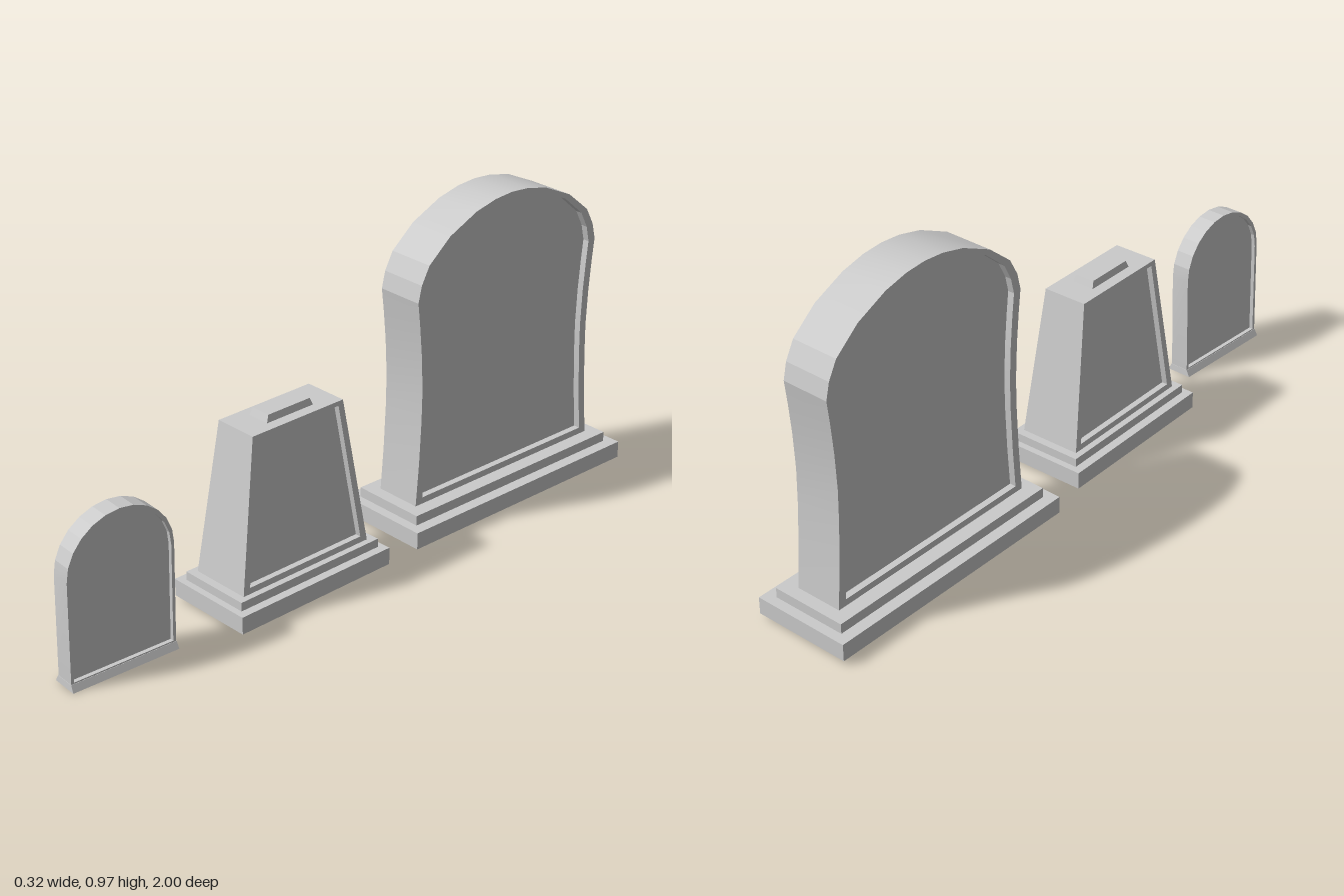
import * as THREE from 'three';
import { toCreasedNormals } from 'three/addons/utils/BufferGeometryUtils.js';

const stone = new THREE.MeshStandardMaterial({ color: 0xcccccc });

function add(group, name, geometry) {
  const mesh = new THREE.Mesh(geometry, stone);
  mesh.name = name;
  group.add(mesh);
}

// Box standing on y0, with its top face resized to w1 x d1
function block(w, d, y0, y1, w1 = w, d1 = d) {
  const g = new THREE.BoxGeometry(w, y1 - y0, d).translate(0, (y0 + y1) / 2, 0);
  const p = g.attributes.position;
  for (let i = 0; i < p.count; i++) {
    if (p.getY(i) > (y0 + y1) / 2) {
      p.setX(i, p.getX(i) * w1 / w);
      p.setZ(i, p.getZ(i) * d1 / d);
    }
  }
  g.computeVertexNormals();
  return g;
}

// Mirrors a half outline, given from bottom to top, into a closed loop
function mirrored(half) {
  const left = half.filter(([u]) => u > 0).reverse().map(([u, y]) => [-u, y]);
  return [...half, ...left].map(([u, y]) => new THREE.Vector2(u, y));
}

// Upright slab facing +x and -x: a raised rim around a sunken panel on each face.
// lean is how far each face has moved inwards at the top.
function slab(group, half, { thickness, depth, side, bottom, top, lean = 0 }) {
  const w = Math.max(...half.map(([u]) => u));
  const y0 = half[0][1], y1 = half[half.length - 1][1];
  const inner = half.map(([u, y]) => [
    u * (w - side) / w,
    y0 + bottom + (y - y0) * (y1 - y0 - bottom - top) / (y1 - y0)
  ]);
  const finish = (g) => {
    g.rotateY(Math.PI / 2);
    const p = g.attributes.position;
    for (let i = 0; i < p.count; i++) {
      const shift = lean * (p.getY(i) - y0) / (y1 - y0);
      p.setX(i, p.getX(i) - Math.sign(p.getX(i)) * shift);
    }
    return toCreasedNormals(g, 0.2);
  };

  const shape = new THREE.Shape(mirrored(half));
  shape.holes.push(new THREE.Path(mirrored(inner)));
  const rim = new THREE.ExtrudeGeometry(shape, { depth: thickness, bevelEnabled: false });
  add(group, 'rim', finish(rim.translate(0, 0, -thickness / 2)));

  const panelShape = new THREE.Shape(mirrored(inner));
  for (const s of [1, -1]) {
    const panel = new THREE.ShapeGeometry(panelShape);
    if (s < 0) panel.rotateY(Math.PI);
    add(group, s > 0 ? 'leftPanel' : 'rightPanel',
      finish(panel.translate(0, 0, s * (thickness / 2 - depth))));
  }
}

function largeStone() {
  const g = new THREE.Group();
  g.name = 'largeHeadstone';
  add(g, 'base', block(0.305, 0.85, 0.015, 0.067));
  add(g, 'step', block(0.235, 0.79, 0.067, 0.097));
  // waisted sides swelling into a shouldered arch
  slab(g, [
    [0.357, 0.097], [0.346, 0.23], [0.339, 0.36], [0.337, 0.46], [0.342, 0.57],
    [0.35, 0.66], [0.358, 0.73], [0.346, 0.78], [0.318, 0.832], [0.24, 0.897],
    [0.14, 0.943], [0.065, 0.961], [0, 0.966]
  ], { thickness: 0.147, depth: 0.02, side: 0.026, bottom: 0.02, top: 0.011 });
  g.position.set(-0.012, 0, -0.575);
  return g;
}

function taperedStone() {
  const g = new THREE.Group();
  g.name = 'taperedHeadstone';
  add(g, 'base', block(0.28, 0.545, 0.016, 0.068));
  add(g, 'step', block(0.228, 0.505, 0.068, 0.094));
  slab(g, [[0.228, 0.094], [0.162, 0.541], [0, 0.541]],
    { thickness: 0.19, depth: 0.018, side: 0.024, bottom: 0.018, top: 0.013, lean: 0.027 });
  add(g, 'cap', block(0.07, 0.165, 0.541, 0.562, 0.062, 0.148));
  g.position.set(0.013, 0, 0.241);
  g.rotation.y = 0.02;
  return g;
}

function smallStone() {
  const g = new THREE.Group();
  g.name = 'smallHeadstone';
  add(g, 'foot', block(0.08, 0.336, 0.002, 0.022, 0.06, 0.334));
  // straight sides under a round arch
  const half = [[0.166, 0.02]];
  for (let i = 0; i <= 6; i++) {
    const a = i / 6 * Math.PI / 2;
    half.push([i < 6 ? 0.166 * Math.cos(a) : 0, 0.325 + 0.16 * Math.sin(a)]);
  }
  slab(g, half, { thickness: 0.058, depth: 0.012, side: 0.009, bottom: 0.006, top: 0.012 });
  g.position.set(0.034, 0, 0.831);
  g.rotation.set(0, -0.04, -0.025);
  return g;
}

export function createModel() {
  const model = new THREE.Group();
  model.name = 'headstones';
  model.add(largeStone(), taperedStone(), smallStone());
  return model;
}
